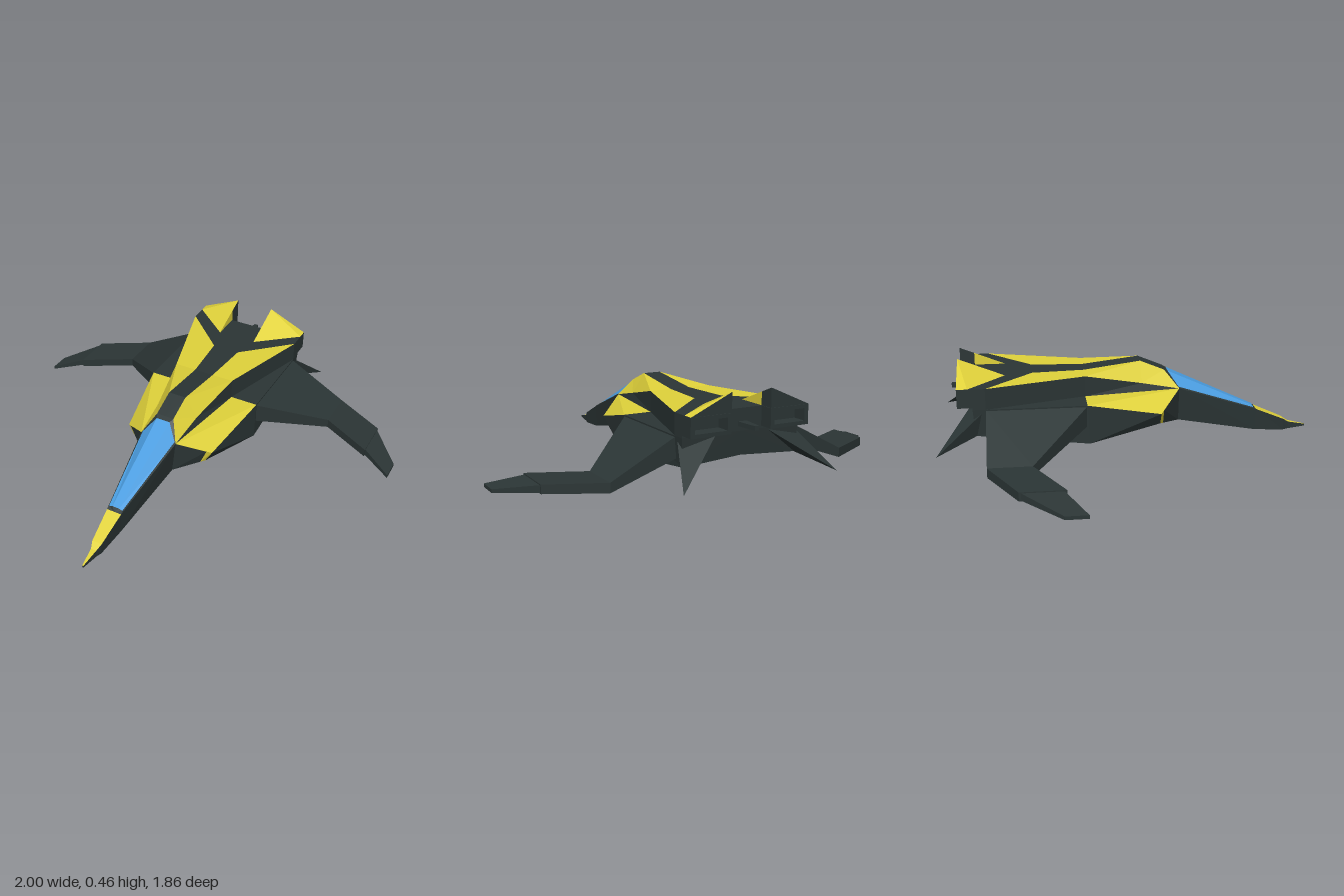
import * as THREE from 'three';

const mat = (name, color) => {
  const m = new THREE.MeshStandardMaterial({ color });
  m.name = name;
  return m;
};

// Centre line of the hull, used to turn faces outward
const hullCore = c => new THREE.Vector3(0, 0.2 - Math.max(0, c.z - 0.2) * 0.26, c.z * 0.9);

// Flat-shaded mesh from convex faces of the left half, mirrored to the right
function panels(name, material, faces, core = hullCore) {
  const pos = [];
  for (const face of faces) {
    const pts = face.map(p => new THREE.Vector3(...p));
    const centre = pts.reduce((s, p) => s.add(p), new THREE.Vector3()).divideScalar(pts.length);
    const normal = new THREE.Vector3();
    for (let i = 1; i < pts.length - 1; i++) {
      normal.add(pts[i].clone().sub(pts[0]).cross(pts[i + 1].clone().sub(pts[0])));
    }
    if (normal.dot(centre.clone().sub(core(centre))) < 0) pts.reverse();
    for (let i = 1; i < pts.length - 1; i++) {
      const tri = [pts[0], pts[i], pts[i + 1]];
      for (const p of tri) pos.push(p.x, p.y, p.z);
      for (const p of tri.reverse()) pos.push(-p.x, p.y, p.z);
    }
  }
  const g = new THREE.BufferGeometry();
  g.setAttribute('position', new THREE.Float32BufferAttribute(pos, 3));
  g.computeVertexNormals();
  const mesh = new THREE.Mesh(g, material);
  mesh.name = name;
  return mesh;
}

// Closed convex solid between two equal-sized cross-sections
function loft(name, material, a, b) {
  const mid = new THREE.Vector3();
  for (const p of [...a, ...b]) mid.add(new THREE.Vector3(...p));
  mid.divideScalar(a.length + b.length);
  const faces = [a, b];
  a.forEach((p, i) => {
    const j = (i + 1) % a.length;
    faces.push([p, a[j], b[j], b[i]]);
  });
  return panels(name, material, faces, () => mid);
}

// Wing cross-section at a given span
const rib = (x, front, rear, top, bottom) =>
  [[x, top, front], [x, top, rear], [x, bottom, rear], [x, bottom, front]];
const mix = (a, b, t) => a.map((v, i) => v + (b[i] - v) * t);
const mid = p => [0, p[1], p[2]];

export function createModel() {
  const dark = mat('charcoal', 0x2b3535);
  const yellow = mat('yellow', 0xe0d23a);
  const blue = mat('canopy blue', 0x4a9de0);
  const ship = new THREE.Group();
  ship.name = 'ship';

  // Shared hull corners
  const tipT = [0.003, 0.02, 0.93], tipB = [0.003, 0.01, 0.93];
  const n0 = [0.014, 0.04, 0.84], n0B = [0.013, 0.003, 0.84];
  const n1 = [0.025, 0.06, 0.81], n1B = [0.02, 0, 0.81];
  const n2 = [0.038, 0.125, 0.66], n2B = [0.03, 0.012, 0.66];
  const F = [0.095, 0.27, 0.25], P = [0.075, 0.1, 0.25];
  const c0 = [0.036, 0.135, 0.645], r0 = [0.018, 0.14, 0.645];
  const r1 = [0.035, 0.345, 0.2], c1 = [0.088, 0.277, 0.247];
  const G = [0.045, 0.355, 0.18], H = [0.045, 0.405, 0.06], I = [0.05, 0.37, -0.22];
  const M = [0.11, 0.31, 0.06], J = [0.16, 0.37, -0.22];
  const K1 = [0.121, 0.27, 0.06], K = [0.16, 0.27, -0.22], L = [0.3, 0.27, -0.22];
  const A = [0.235, 0.19, 0.14], B = [0.2, 0.13, 0.14], C = [0.3, 0.08, -0.21];
  const Q = [0.1, 0.097, -0.07], D = [0.29, 0.14, -0.74];
  const S = [0.07, 0.37, -0.47], E = [0.3, 0.37, -0.69], E2 = [0.3, 0.27, -0.69];
  const T = [0.3, 0.37, -0.75], T2 = [0.3, 0.27, -0.75];
  const A1 = mix(A, F, 0.15), B1 = mix(B, P, 0.15);

  // Nose
  ship.add(panels('noseTop', yellow, [
    [mid(tipT), tipT, n0, mid(n0)], [mid(n0), n0, n1, mid(n1)], [mid(n1), n1, n2, mid(n2)],
  ]));
  ship.add(panels('noseSides', dark, [
    [tipT, n0, n0B, tipB], [n0, n1, n1B, n0B], [n1, n2, n2B, n1B], [n2, F, P, n2B],
    [mid(tipB), tipB, n0B, mid(n0B)], [mid(n0B), n0B, n1B, mid(n1B)],
    [mid(n1B), n1B, n2B, mid(n2B)], [mid(n2B), n2B, P, mid(P)],
    [mid(tipT), tipT, tipB, mid(tipB)],
  ]));

  // Canopy and its frame
  ship.add(panels('canopy', blue, [[mid(r0), r0, r1, mid(r1)], [r0, c0, c1, r1]]));
  ship.add(panels('canopyFrame', dark, [
    [mid(n2), n2, c0, r0, mid(r0)], [n2, F, c1, c0], [c1, F, G, r1], [mid(r1), r1, G, mid(G)],
  ]));

  // Upper hull
  ship.add(panels('shoulderPanels', yellow, [[G, F, M], [G, M, H], [H, M, J, I]]));
  ship.add(panels('spine', dark, [[mid(G), G, H, mid(H)], [mid(H), H, I, mid(I)]]));
  ship.add(panels('upperWalls', dark, [
    [F, K1, M], [M, K1, K, J], [J, K, E2], [J, E2, E], [E, E2, T2, T], [K, L, E2],
  ]));
  ship.add(panels('rearDeck', dark, [
    [mid(I), I, S, mid(S)], [mid(S), S, E, T, mid(T)], [mid(T), T, T2, mid(T2)],
  ]));
  ship.add(panels('deckStripes', yellow, [[I, J, E, S]]));

  // Cheeks beside the cockpit
  ship.add(panels('cheekTops', yellow, [[F, A, L], [F, L, K]]));
  ship.add(panels('cheekRims', yellow, [[A, A1, B1, B]]));
  ship.add(panels('cheekFronts', dark, [[F, A1, B1, P]]));
  ship.add(panels('cheekUndersides', yellow, [[P, B, Q]]));

  // Lower hull
  ship.add(panels('lowerHull', dark, [
    [A, B, C], [A, C, L], [L, C, D], [L, D, T2], [Q, B, C],
    [mid(P), P, Q, mid(Q)], [mid(Q), Q, C, [0, 0.075, -0.21]],
    [[0, 0.075, -0.21], C, D, [0, 0.16, -0.74]],
    [[0, 0.16, -0.74], D, T2, mid(T2)],
  ]));

  // Drooping wings with narrower tips
  const elbow = rib(0.6, -0.485, -0.685, 0.105, 0.06);
  ship.add(loft('innerWings', dark, rib(0.29, -0.215, -0.69, 0.268, 0.17), elbow));
  ship.add(loft('outerWings', dark, elbow, rib(0.85, -0.35, -0.55, 0.098, 0.057)));
  ship.add(loft('wingTips', dark,
    rib(0.85, -0.36, -0.54, 0.093, 0.06), rib(1, -0.27, -0.37, 0.052, 0.036)));

  // Swept spikes under the tail
  const spike = [[0.29, 0.265, -0.69], [0.29, 0.14, -0.735], [0.13, 0.265, -0.745]];
  const end = [0.39, 0.08, -0.92];
  ship.add(panels('tailSpikes', dark, [
    spike, ...spike.map((p, i) => [p, spike[(i + 1) % 3], end]),
  ], () => new THREE.Vector3(0.26, 0.2, -0.76)));

  // Open engine boxes
  for (const side of [1, -1]) {
    const rect = (Path, w, h) => new Path([
      [-w, -h], [w, -h], [w, h], [-w, h],
    ].map(([x, y]) => new THREE.Vector2(x, y)));
    const shape = rect(THREE.Shape, 0.1, 0.045);
    shape.holes.push(rect(THREE.Path, 0.08, 0.028));
    const box = new THREE.Mesh(
      new THREE.ExtrudeGeometry(shape, { depth: 0.072, bevelEnabled: false }), dark);
    box.name = side > 0 ? 'leftEngine' : 'rightEngine';
    box.position.set(side * 0.2, 0.325, -0.82);
    ship.add(box);
  }

  // Wedge fins above the engines, dark at the rear
  const f0 = [0.1, 0.371, -0.6], f1 = [0.3, 0.371, -0.77], f2 = [0.3, 0.371, -0.82];
  const f3 = [0.1, 0.371, -0.82], peak = [0.1, 0.46, -0.82];
  const low = mix(f0, f3, 0.68), high = mix(f0, peak, 0.68);
  const finCore = () => new THREE.Vector3(0.17, 0.38, -0.78);
  ship.add(panels('tailFins', yellow, [[f0, f1, peak], [f1, f2, peak], [f0, low, high]], finCore));
  ship.add(panels('tailFinBacks', dark, [[f2, f3, peak], [low, f3, peak, high]], finCore));

  // Tail prong, tapered to the rear
  const prong = new THREE.Mesh(new THREE.BoxGeometry(0.044, 0.02, 0.11), dark);
  const p = prong.geometry.attributes.position;
  for (let i = 0; i < p.count; i++) if (p.getZ(i) < 0) p.setX(i, p.getX(i) * 0.5);
  prong.geometry.computeVertexNormals();
  prong.name = 'tailProng';
  prong.position.set(0, 0.302, -0.805);
  ship.add(prong);

  // Slight yaw of the whole craft
  ship.rotation.y = -0.026;
  const model = new THREE.Group();
  model.add(ship);
  return model;
}
